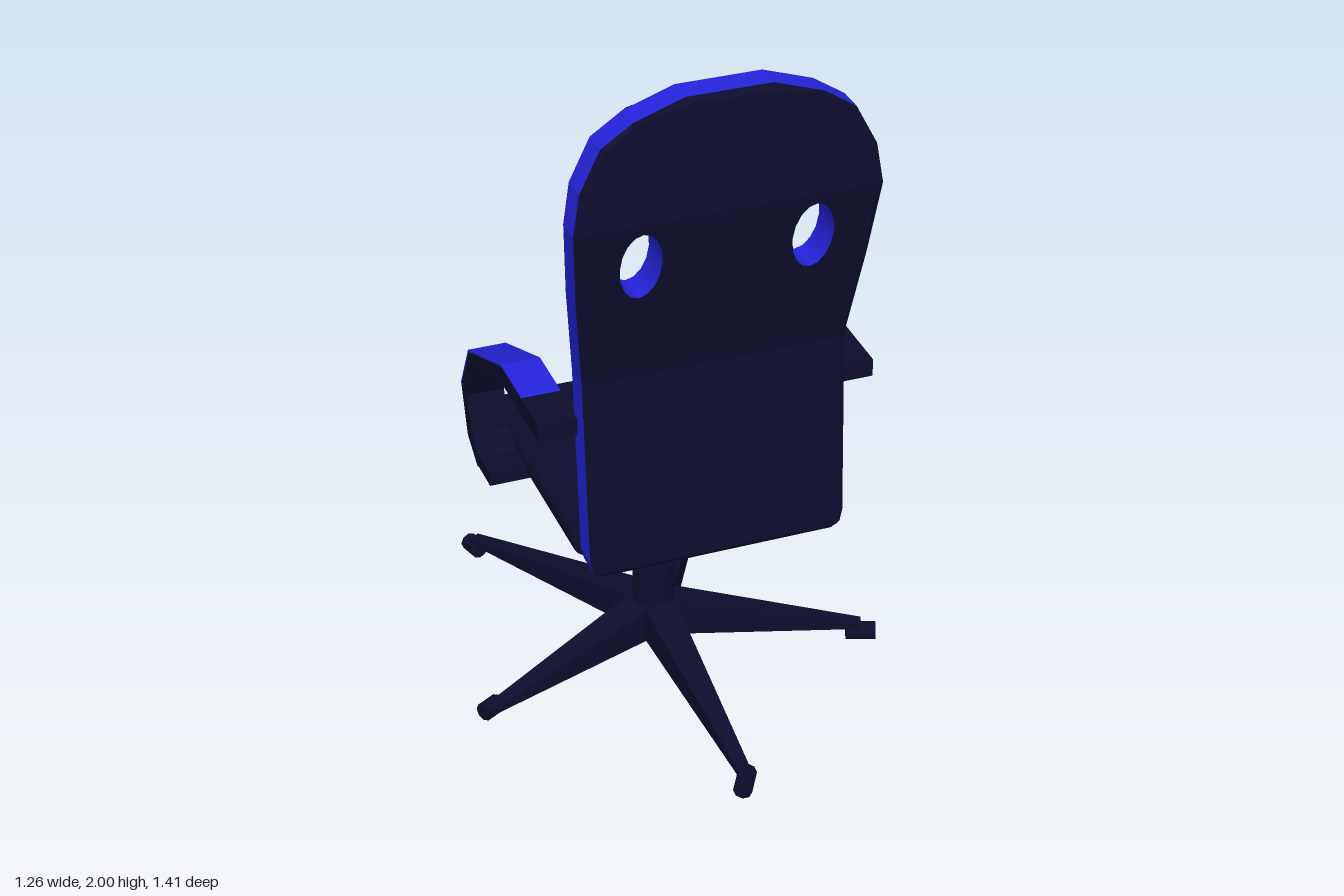
import * as THREE from 'three';
import { RoundedBoxGeometry } from 'three/addons/geometries/RoundedBoxGeometry.js';

const navy = new THREE.MeshStandardMaterial({ name: 'darkNavy', color: 0x0d0d2d, side: THREE.DoubleSide });
const blue = new THREE.MeshStandardMaterial({ name: 'brightBlue', color: 0x2424de, side: THREE.DoubleSide });

function add(parent, name, geometry, material, x = 0, y = 0, z = 0) {
  const mesh = new THREE.Mesh(geometry, material);
  mesh.name = name;
  mesh.position.set(x, y, z);
  parent.add(mesh);
  return mesh;
}

// Backrest: half outline [half width, height] and a bent centre line
const outline = [[0.325, 0.62], [0.35, 0.635], [0.358, 0.67], [0.362, 1.2], [0.392, 1.46], [0.41, 1.68],
  [0.392, 1.79], [0.335, 1.9], [0.25, 1.955], [0.115, 2.0]];
const inset = outline.map(([w, y]) => [w - 0.014, Math.min(Math.max(y, 0.634), 1.985)]);
const cuts = [0.62, 1.2, 1.68, 2.0];
const depths = [0.455, 0.413, 0.506, 0.488];
function bend(y) {
  const i = y < cuts[1] ? 0 : y < cuts[2] ? 1 : 2;
  return THREE.MathUtils.mapLinear(y, cuts[i], cuts[i + 1], depths[i], depths[i + 1]);
}
function bendGeometry(geometry) {
  const p = geometry.attributes.position;
  for (let i = 0; i < p.count; i++) p.setZ(i, p.getZ(i) + bend(p.getY(i)));
  geometry.computeVertexNormals();
  return geometry;
}
const loop = half => [...half, ...half.map(([w, y]) => [-w, y]).reverse()];

// Strip between two closed loops lying at depths za and zb
function strip(a, b, za, zb) {
  const v = [];
  a.forEach((p, i) => {
    const j = (i + 1) % a.length;
    const A = [...p, za], B = [...a[j], za], C = [...b[j], zb], D = [...b[i], zb];
    v.push(...A, ...B, ...C, ...A, ...C, ...D);
  });
  const g = new THREE.BufferGeometry();
  g.setAttribute('position', new THREE.Float32BufferAttribute(v, 3));
  return bendGeometry(g);
}

function buildBackrest() {
  const back = new THREE.Group();
  back.name = 'backrest';
  const t = 0.048, e = 0.037, outer = loop(outline), inner = loop(inset);
  for (const s of [-1, 1]) {
    for (let i = 0; i < 3; i++) {
      const part = inset.filter(([, y]) => y >= cuts[i] && y <= cuts[i + 1]);
      const shape = new THREE.Shape(loop(part).map(([x, y]) => new THREE.Vector2(x, y)));
      // Two oval grip holes in the middle panel
      if (i === 1) for (const x of [-0.23, 0.23]) {
        shape.holes.push(new THREE.Path().absellipse(x, 1.556, 0.056, 0.1, 0, Math.PI * 2, true));
      }
      const g = new THREE.ShapeGeometry(shape, 8);
      g.translate(0, 0, s * t);
      // Keep shared seam rows on the same bent line
      add(back, s < 0 ? 'backrestFrontPanel' : 'backrestRearPanel', bendGeometry(g), navy);
    }
    add(back, 'backrestBevel', strip(inner, outer, s * t, s * e), navy);
  }
  add(back, 'backrestRim', strip(outer, outer, -e, e), blue);
  for (const x of [-0.23, 0.23]) {
    const g = new THREE.CylinderGeometry(1, 1, 2 * t, 16, 1, true);
    g.rotateX(Math.PI / 2).scale(0.056, 0.1, 1).translate(x, 1.556, 0);
    add(back, 'gripHoleWall', bendGeometry(g), blue);
  }
  return back;
}

// Armrest side profile as [depth, height] points
const armOuter = [[0.41, 1.07], [0.27, 1.072], [0.11, 1.075], [-0.19, 0.95], [-0.27, 0.8], [-0.225, 0.66], [-0.14, 0.605]];
const armInner = [[0.41, 1.02], [0.27, 1.022], [0.1, 1.022], [-0.155, 0.915], [-0.222, 0.79], [-0.185, 0.685], [-0.12, 0.645]];
function ribbon(a, b) {
  const shape = new THREE.Shape([...a, ...[...b].reverse()].map(([x, y]) => new THREE.Vector2(x, y)));
  const g = new THREE.ExtrudeGeometry(shape, { depth: 0.108, bevelEnabled: false });
  return g.rotateY(-Math.PI / 2).translate(0.054, 0, 0);
}

function buildArmrest(side) {
  const arm = new THREE.Group();
  arm.name = side > 0 ? 'leftArmrest' : 'rightArmrest';
  arm.position.x = side * 0.413;
  add(arm, 'armLoop', ribbon(armOuter, armInner), navy);
  // Thin blue facing: front only on one arm, whole slope on the other
  const faced = armOuter.slice(side > 0 ? 3 : 1, 5);
  add(arm, 'armFacing', ribbon(faced.map(([z, y]) => [z - 0.004, y + 0.004]), faced), blue);
  add(arm, 'armBracket', new THREE.BoxGeometry(0.16, 0.04, 0.12), navy, -side * 0.03, 0.623, -0.1);
  return arm;
}

// Tapered base leg running along +x
function legGeometry(length) {
  const g = new THREE.BoxGeometry(length, 1, 1).translate(length / 2, 0.5, 0);
  const p = g.attributes.position;
  for (let i = 0; i < p.count; i++) {
    const end = p.getX(i) > length / 2;
    p.setY(i, 0.042 + p.getY(i) * (end ? 0.018 : 0.113));
    p.setZ(i, p.getZ(i) * (end ? 0.035 : 0.1));
  }
  g.computeVertexNormals();
  return g;
}

function buildBase() {
  const base = new THREE.Group();
  base.name = 'base';
  base.position.set(0.008, 0, 0.004);
  add(base, 'column', new THREE.CylinderGeometry(0.045, 0.045, 0.52, 16), navy, 0, 0.36, 0);
  add(base, 'sleeve', new THREE.CylinderGeometry(0.06, 0.06, 0.23, 16), navy, 0, 0.155, 0);
  // Casters: x, z, y, axis angle in degrees, length
  const casters = [[-0.088, -0.672, 0.026, 98, 0.062], [0.58, -0.382, 0.026, -28, 0.07], [0.418, 0.424, 0.026, 45, 0.085],
    [-0.308, 0.66, 0.026, -35, 0.085], [-0.605, -0.027, 0.058, -5, 0.06]];
  for (const [x, z, y, deg, length] of casters) {
    const leg = add(base, 'baseLeg', legGeometry(Math.hypot(x, z)), navy);
    leg.rotation.y = -Math.atan2(z, x);
    const g = new THREE.CylinderGeometry(0.026, 0.026, length, 8).rotateZ(Math.PI / 2);
    add(base, 'caster', g, navy, x, y, z).rotation.y = -THREE.MathUtils.degToRad(deg);
  }
  return base;
}

export function createModel() {
  const model = new THREE.Group();
  model.name = 'officeChair';
  model.add(buildBase());

  // Swivelled upper part
  const upper = new THREE.Group();
  upper.name = 'swivelSeat';
  upper.position.set(0.008, 0, 0.003);
  upper.rotation.y = -0.424;
  add(upper, 'seat', new RoundedBoxGeometry(0.715, 0.08, 0.765, 3, 0.035), navy, 0, 0.64, 0);
  upper.add(buildBackrest(), buildArmrest(-1), buildArmrest(1));
  model.add(upper);
  return model;
}
